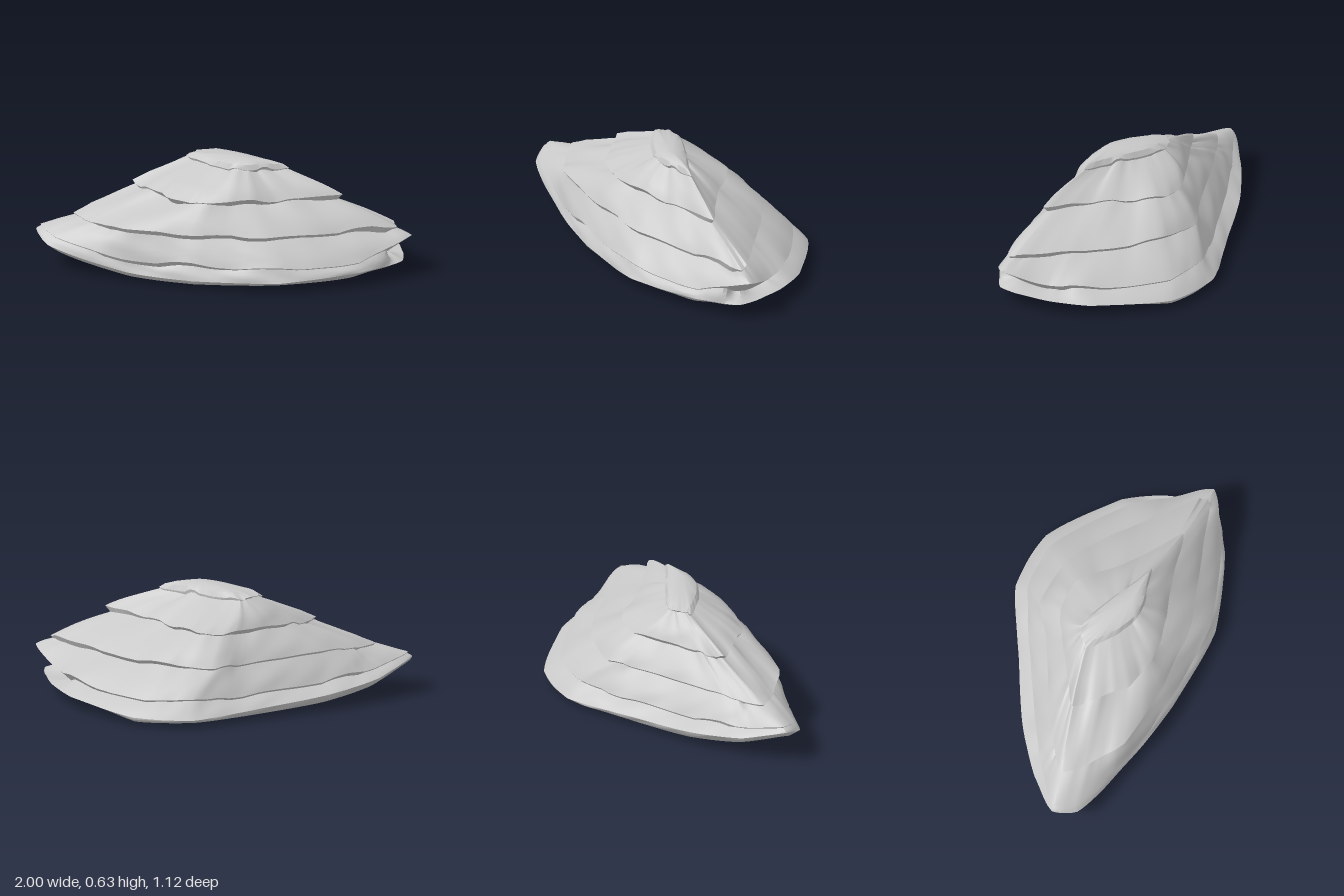
import * as THREE from 'three';
import { toCreasedNormals } from 'three/addons/utils/BufferGeometryUtils.js';

const COUNT = 14, SUB = 10, N = COUNT * SUB;
const { lerp, smoothstep } = THREE.MathUtils;

// Outlines as 14 [x, z] points: left tip, along the back, right tip, along the front.
const BASE = [[-0.95, -0.02], [-0.75, -0.16], [-0.48, -0.3], [-0.03, -0.44], [0.27, -0.53], [0.57, -0.45],
  [0.7, -0.1], [0.75, 0.13], [0.78, 0.31], [0.62, 0.43], [0.25, 0.48], [-0.19, 0.41], [-0.52, 0.27], [-0.88, 0.08]];
const RIM = [[-1, -0.03], [-0.8, -0.18], [-0.5, -0.33], [-0.04, -0.47], [0.27, -0.56], [0.59, -0.47],
  [0.88, -0.12], [0.97, 0.16], [0.95, 0.39], [0.72, 0.5], [0.27, 0.56], [-0.2, 0.44], [-0.55, 0.3], [-0.95, 0.1]];
const LOW = [[-0.97, -0.03], [-0.77, -0.14], [-0.48, -0.26], [-0.02, -0.4], [0.24, -0.475], [0.51, -0.42],
  [0.83, -0.06], [0.935, 0.17], [1, 0.365], [0.7, 0.475], [0.27, 0.525], [-0.2, 0.42], [-0.55, 0.285], [-0.91, 0.09]];
const MID = [[-0.79, -0.03], [-0.67, -0.1], [-0.48, -0.17], [-0.05, -0.31], [0.13, -0.385], [0.37, -0.3],
  [0.65, -0.03], [0.8, 0.17], [0.92, 0.35], [0.6, 0.395], [0.2, 0.43], [-0.17, 0.38], [-0.54, 0.26], [-0.72, 0.09]];
const HIGH = [[-0.46, -0.05], [-0.39, -0.085], [-0.3, -0.12], [-0.1, -0.2], [0.07, -0.25], [0.24, -0.2],
  [0.38, 0], [0.52, 0.17], [0.63, 0.285], [0.4, 0.29], [0.15, 0.31], [-0.1, 0.295], [-0.27, 0.215], [-0.38, 0.08]];
const CREST = [[-0.17, -0.05], [-0.145, -0.07], [-0.11, -0.09], [-0.07, -0.1], [-0.02, -0.09], [0.08, -0.03],
  [0.18, 0.05], [0.27, 0.12], [0.35, 0.18], [0.23, 0.185], [0.13, 0.19], [0.03, 0.16], [-0.05, 0.1], [-0.12, 0.03]];
const BASE_Y = [0.155, 0.08, 0.045, 0.025, 0.025, 0.022, 0.022, 0.022, 0.024, 0.022, 0.022, 0.02, 0.024, 0.1];
const RIM_Y = [0.2, 0.13, 0.09, 0.06, 0.045, 0.05, 0.075, 0.09, 0.095, 0.085, 0.065, 0.05, 0.06, 0.155];
const LOW_Y = [0.225, 0.17, 0.14, 0.13, 0.13, 0.13, 0.14, 0.165, 0.23, 0.14, 0.13, 0.13, 0.13, 0.195];

// Closed ring of N points; a blend of curve and polygon keeps the tips pointed.
function ring(points, y) {
  const p = points.map(([x, z], i) => new THREE.Vector3(x, Array.isArray(y) ? y[i] : y, z));
  const curve = new THREE.CatmullRomCurve3(p, true, 'centripetal');
  return Array.from({ length: N }, (_, j) => {
    const i = Math.floor(j / SUB);
    const straight = p[i].clone().lerp(p[(i + 1) % COUNT], (j % SUB) / SUB);
    return straight.lerp(curve.getPoint(j / N), 0.6);
  });
}

const hash = (i, seed) => {
  const s = Math.sin(i * 127.1 + seed * 311.7) * 43758.5453;
  return (s - Math.floor(s)) * 2 - 1;
};
// Stepped noise around a ring, for broken ledge edges
function jag(j, seed, cell) {
  const cells = N / cell, i = Math.floor(j / cell);
  const t = Math.max(0, ((j % cell) / cell) * 2 - 1);
  return lerp(hash(i, seed), hash((i + 1) % cells, seed), t);
}
// Gentle dents in the rock faces
const dent = (p) => 0.5 * Math.sin(p.x * 11 + p.y * 17) * Math.cos(p.z * 13 - p.y * 9)
  + 0.5 * Math.sin(p.x * 23 - p.z * 19 + p.y * 31);

// Move a point outwards from the middle, less so close to it
function push(p, amount) {
  const d = new THREE.Vector3(p.x - 0.1, 0, p.z - 0.05);
  return p.clone().addScaledVector(d, amount / Math.max(0.25, d.length()));
}

// Skin through rings listed from bottom to top
function loft(rings) {
  const pos = rings.flat().flatMap((p) => [p.x, Math.max(0, p.y), p.z]);
  const index = [];
  for (let r = 0; r < rings.length - 1; r++) {
    for (let j = 0; j < N; j++) {
      const k = (j + 1) % N, a = r * N + j, b = r * N + k;
      index.push(a, a + N, b, b, a + N, b + N);
    }
  }
  const g = new THREE.BufferGeometry();
  g.setAttribute('position', new THREE.Float32BufferAttribute(pos, 3));
  g.setIndex(index);
  return toCreasedNormals(g, 0.55);
}

// One stratum: a dented face between two rings, bulging most at the right end
function stratum(lower, upper, bulge) {
  const rings = [];
  const steps = 6;
  for (let s = 0; s <= steps; s++) {
    const t = s / steps, round = Math.sin(Math.PI * t);
    rings.push(lower.map((p, j) => {
      const q = p.clone().lerp(upper[j], t);
      return push(q, round * (bulge * (1 + smoothstep(q.x, 0.3, 0.7)) + 0.008 * dent(q)));
    }));
  }
  return rings;
}

// Overhanging break: the inner foot below and the outer lip above.
// The corner depth undercuts the right tip.
function ledge(points, y, seed, reach, corner = 0) {
  const foot = [], lip = [];
  ring(points, y).forEach((p, j) => {
    const quiet = p.x < -0.7 || p.x > 0.9 ? 0.35 : 1;
    const shift = 0.011 * jag(j, seed, 5) * quiet;
    const open = reach * quiet * Math.max(0.1, 0.75 + 0.6 * jag(j, seed + 5, 10));
    const edge = 0.007 * jag(j, seed + 9, 5) * quiet;
    const under = corner * smoothstep(p.x, 0.85, 0.99);
    const a = push(p, edge - open * 0.6 - under * 1.3), b = push(p, edge + open * 0.3);
    a.y += shift - open * 0.5 - under;
    b.y += shift + open * 0.5;
    foot.push(a);
    lip.push(b);
  });
  return { foot, lip };
}

// Ring drawn in towards a centre [x, z] and laid at height y
const shrink = (r, [x, z], f, y) => r.map((p) => (
  new THREE.Vector3(x + (p.x - x) * f, y, z + (p.z - z) * f)));

export function createModel() {
  const group = new THREE.Group();
  group.name = 'layeredRock';
  const stone = new THREE.MeshStandardMaterial({ color: 0xc8c8c8 });
  stone.name = 'paleGreyStone';
  const add = (name, rings) => {
    const mesh = new THREE.Mesh(loft(rings), stone);
    mesh.name = name;
    group.add(mesh);
  };

  // Shallow underside, rising to the left tip, and the undercut up to the rim
  const base = ring(BASE, BASE_Y);
  const rim = ring(RIM, RIM_Y).map((p, j) => push(p, 0.004 * (jag(j, 3, 5) - 1)));
  const heart = [0.05, 0];
  add('underside', [shrink(base, heart, 0, 0), shrink(base, heart, 0.35, 0.002),
    shrink(base, heart, 0.7, 0.01), base]);
  add('undercut', stratum(base, rim, 0.005));

  // Strata separated by broken ledges
  const ledges = [
    ledge(LOW, LOW_Y, 11, 0.022, 0.1),
    ledge(MID, 0.28, 23, 0.03),
    ledge(HIGH, 0.437, 37, 0.028),
    ledge(CREST, 0.582, 51, 0.014),
  ];
  const bulges = [0.004, 0.008, 0.012, 0.016];
  let lower = rim;
  ledges.forEach(({ foot, lip }, i) => {
    add(`stratum${i + 1}`, stratum(lower, foot, bulges[i]));
    add(`ledge${i + 1}`, [foot, lip]);
    lower = lip;
  });

  // Crown, highest towards the front right
  const peak = [0.14, 0.13];
  const crown = [[0.85, 0.61], [0.6, 0.622], [0.3, 0.63], [0, 0.633]].map(([f, y]) => (
    shrink(lower, peak, f, y).map((p) => {
      p.y += 0.006 * f * dent(p);
      return p;
    })));
  add('crown', [lower, ...crown]);
  return group;
}
